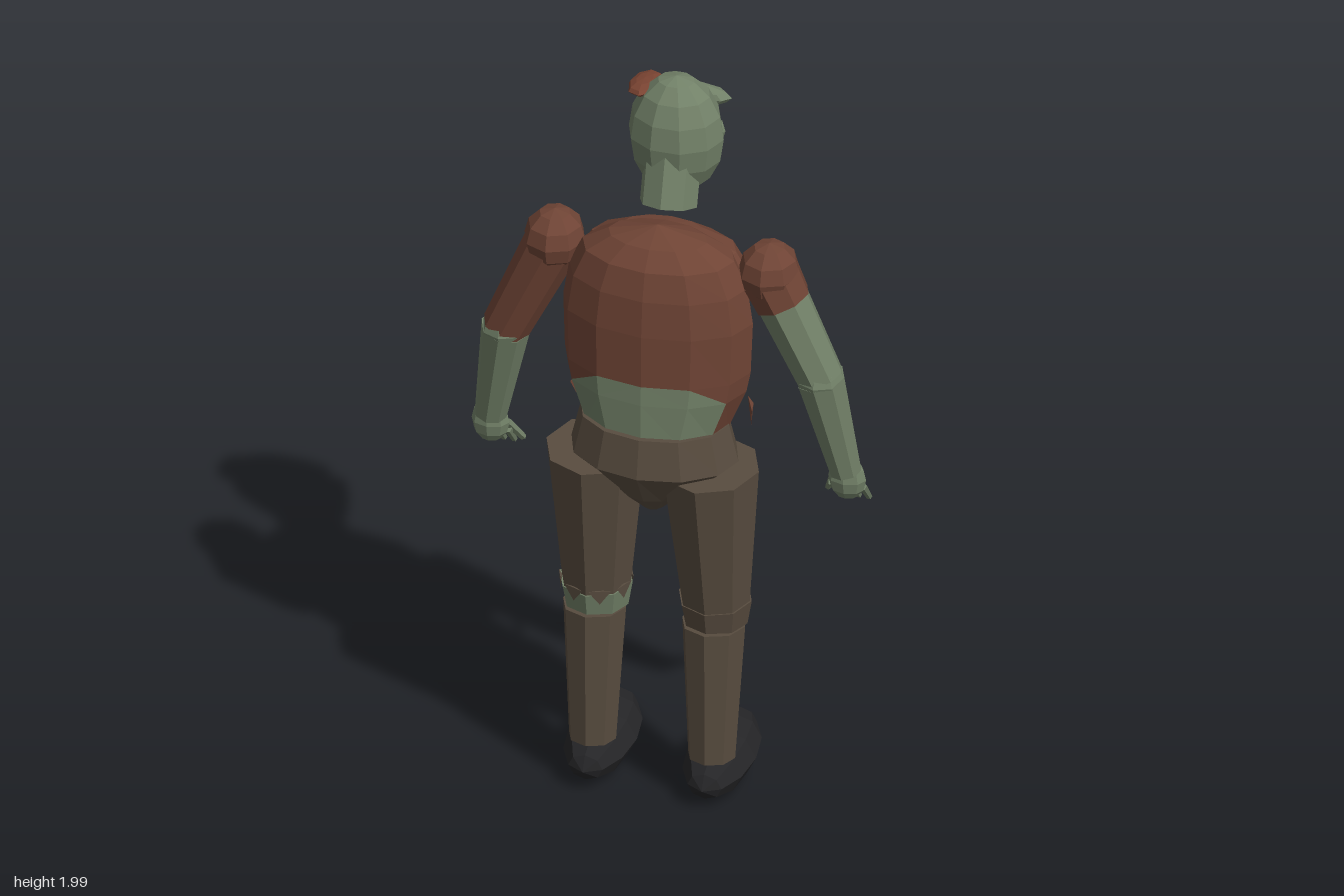
import * as THREE from 'three';

const mat = (name, color) => Object.assign(new THREE.MeshStandardMaterial({ color }), { name });

export function createModel() {
  const skin = mat('skin', 0x728168);
  const shirt = mat('shirt', 0x6f4435);
  const trousers = mat('trousers', 0x584c3f);
  const black = mat('black', 0x252527);
  const wound = mat('wound', 0x7c4533);
  const root = new THREE.Group();
  root.name = 'figure';

  // Faceted mesh: unshared corners give flat normals
  const add = (name, geo, material, parent = root) => {
    const g = geo.index ? geo.toNonIndexed() : geo;
    g.computeVertexNormals();
    const m = new THREE.Mesh(g, material);
    m.name = name;
    parent.add(m);
    return m;
  };
  const blob = (name, c, r, material, w = 8, h = 6, parent = root) => {
    const m = add(name, new THREE.SphereGeometry(1, w, h).scale(...r), material, parent);
    m.position.set(...c);
    return m;
  };
  // Tapered limb running from point a to point b
  const limb = (name, a, b, ra, rb, material, sides = 8, parent = root) => {
    const A = new THREE.Vector3(...a), B = new THREE.Vector3(...b), d = B.clone().sub(A);
    const m = add(name, new THREE.CylinderGeometry(rb, ra, d.length(), sides), material, parent);
    m.position.copy(A).add(B).multiplyScalar(0.5);
    m.quaternion.setFromUnitVectors(new THREE.Vector3(0, 1, 0), d.normalize());
    return m;
  };
  // Stacked elliptical rings [y, rx, rz, centreZ]; keep(ring, side, half) picks triangles
  const loft = (rings, n, keep = () => true) => {
    const P = (k, i) => {
      const [y, rx, rz, cz] = rings[k], a = (i / n) * Math.PI * 2;
      return [rx * Math.sin(a), y, cz + rz * Math.cos(a)];
    };
    const v = [];
    for (let k = 0; k < rings.length - 1; k++) for (let i = -n / 2; i < n / 2; i++) {
      // Mirrored diagonals keep both halves symmetrical
      const q = [P(k, i), P(k, i + 1), P(k + 1, i + 1), P(k + 1, i)];
      const tris = i >= 0 ? [[0, 1, 3], [1, 2, 3]] : [[0, 1, 2], [0, 2, 3]];
      tris.forEach((t, h) => {
        if (keep(k, i, h)) t.forEach((j) => v.push(...q[j]));
      });
    }
    const g = new THREE.BufferGeometry();
    g.setAttribute('position', new THREE.Float32BufferAttribute(v, 3));
    return g;
  };

  // Torso: shirt torn open at the lower back (+z)
  const torso = [
    [1.09, 0.19, 0.135, 0.08], [1.2, 0.235, 0.145, 0.07], [1.255, 0.245, 0.147, 0.066],
    [1.4, 0.25, 0.147, 0.063], [1.5, 0.235, 0.14, 0.06], [1.575, 0.2, 0.12, 0.06],
    [1.62, 0.13, 0.075, 0.065], [1.655, 0.0, 0.0, 0.07],
  ];
  const bare = (k, i, h) => {
    if (k === 0) return i >= -2 && i < 2;
    if (k !== 1) return false;
    return i === -1 || i === 0 || (i === 1 && h === 0) || (i === -2 && h === 0);
  };
  add('shirtBody', loft(torso, 12, (k, i, h) => !bare(k, i, h)), shirt);
  add('bareBack', loft(torso, 12, bare), skin);
  blob('shirtChest', [0, 1.52, 0.01], [0.22, 0.1, 0.122], shirt, 12, 6);
  blob('bareSide', [-0.22, 1.21, -0.01], [0.042, 0.085, 0.06], skin);

  // Ragged hem around the belly
  for (let i = -3; i <= 3; i++) {
    const a = i * 0.38;
    const t = add('hemTatter', new THREE.ConeGeometry(0.042, 0.065, 3).rotateX(Math.PI).scale(1, 1, 0.15), shirt);
    t.position.set(0.25 * Math.sin(a), 1.09, 0.07 - 0.16 * Math.cos(a));
    t.rotation.y = -a;
  }

  // Hips
  add('hips', loft([
    [0.84, 0.03, 0.04, 0.09], [0.9, 0.09, 0.1, 0.09], [1.0, 0.22, 0.16, 0.09],
    [1.105, 0.195, 0.14, 0.09], [1.106, 0, 0, 0.09],
  ], 12), trousers);

  // Legs and shoes
  for (const s of [-1, 1]) {
    const leg = new THREE.Group();
    leg.name = s > 0 ? 'leftLeg' : 'rightLeg';
    root.add(leg);
    const x = 0.157 * s;
    limb('thigh', [x, 0.57, 0.083], [0.15 * s, 0.99, 0.11], 0.09, 0.13, trousers, 8, leg);
    limb('knee', [x, 0.515, 0.08], [x, 0.585, 0.083], 0.084, 0.096, s < 0 ? skin : trousers, 8, leg);
    limb('shin', [x, 0.13, 0.115], [x, 0.515, 0.097], 0.062, 0.083, trousers, 8, leg);
    const shoe = add('shoe', new THREE.SphereGeometry(1, 8, 6).rotateX(Math.PI / 2)
      .scale(0.09, 0.074, 0.177), black, leg);
    shoe.position.set(x, 0.08, 0.025);
    shoe.rotation.x = 0.06;
  }
  blob('kneeWound', [-0.157, 0.575, -0.005], [0.04, 0.043, 0.02], wound);
  // Torn trouser points over the bare knee
  for (let i = 0; i < 8; i++) {
    const a = (i / 8) * Math.PI * 2 + Math.PI / 8;
    const t = add('trouserTatter', new THREE.ConeGeometry(0.034, 0.04, 3).rotateX(Math.PI).scale(1, 1, 0.12), trousers);
    t.position.set(-0.157 + 0.09 * Math.sin(a), 0.575, 0.083 + 0.09 * Math.cos(a));
    t.rotation.y = a;
  }

  // Arms, hands and fingers
  for (const s of [-1, 1]) {
    const arm = new THREE.Group();
    arm.name = s > 0 ? 'leftArm' : 'rightArm';
    root.add(arm);
    const shoulder = [0.285 * s, 1.53, 0.025], elbow = [0.415 * s, 1.245, 0.02], wrist = [0.468 * s, 0.95, -0.025];
    blob('shoulder', [0.283 * s, 1.543, 0.027], [0.08, 0.083, 0.084], shirt, 8, 6, arm);
    limb('upperArm', elbow, shoulder, 0.062, 0.074, s < 0 ? shirt : skin, 8, arm);
    if (s > 0) limb('tornSleeve', [0.317, 1.46, 0.024], shoulder, 0.075, 0.08, shirt, 8, arm);
    blob('elbow', elbow, [0.062, 0.055, 0.066], skin, 8, 6, arm);
    limb('forearm', wrist, elbow, 0.042, 0.064, skin, 8, arm);
    blob('hand', [0.47 * s, 0.925, -0.03], [0.05, 0.06, 0.036], skin, 8, 6, arm);
    for (let i = 0; i < 4; i++) {
      const x = (0.508 - i * 0.027) * s;
      limb('finger', [x, 0.9, -0.04], [x, 0.835, -0.097], 0.011, 0.008, skin, 5, arm);
    }
    limb('thumb', [0.43 * s, 0.92, -0.04], [0.402 * s, 0.85, -0.09], 0.012, 0.009, skin, 5, arm);
    blob('armWound', [0.43 * s, s < 0 ? 1.18 : 1.25, -0.043], [0.014, 0.02, 0.01], wound, 6, 4, arm);
  }

  // Head and neck
  const head = new THREE.Group();
  head.name = 'head';
  root.add(head);
  limb('neck', [0, 1.66, -0.027], [0, 1.83, -0.08], 0.075, 0.075, skin, 8, head);
  blob('skull', [0, 1.83, -0.095], [0.125, 0.17, 0.106], skin, 10, 8, head);
  blob('brow', [0, 1.895, -0.19], [0.118, 0.03, 0.036], skin, 10, 6, head);
  blob('jaw', [0, 1.72, -0.165], [0.075, 0.045, 0.06], skin, 8, 6, head);
  blob('mouth', [0, 1.745, -0.212], [0.045, 0.034, 0.022], black, 8, 6, head);
  const nose = add('nose', new THREE.ConeGeometry(0.026, 0.075, 5).rotateX(-Math.PI / 2), skin, head);
  nose.position.set(0, 1.815, -0.215);
  for (const s of [-1, 1]) {
    blob('eye', [0.048 * s, 1.848, -0.197], [0.036, 0.024, 0.022], black, 8, 6, head);
    blob('cheek', [0.066 * s, 1.797, -0.185], [0.036, 0.036, 0.03], skin, 8, 6, head);
  }
  const scar = blob('headWound', [-0.086, 1.95, -0.112], [0.045, 0.017, 0.062], wound, 8, 6, head);
  scar.rotation.z = 0.15;

  return root;
}
